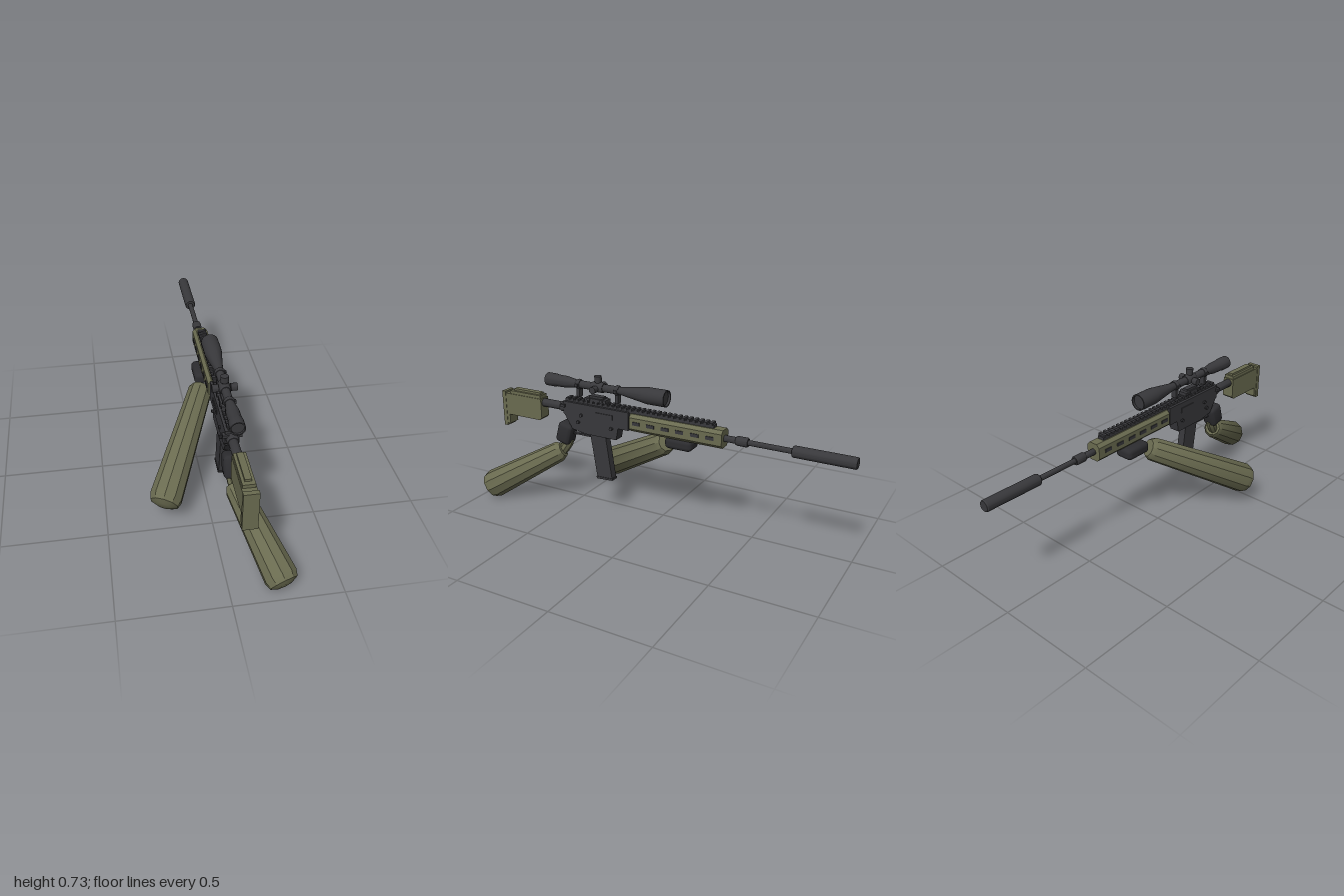
import * as THREE from 'three';
import { toCreasedNormals } from 'three/addons/utils/BufferGeometryUtils.js';
import { RoundedBoxGeometry } from 'three/addons/geometries/RoundedBoxGeometry.js';

const CX = 0.075; // the rifle's centre plane
const material = (name, color) => {
  const m = new THREE.MeshStandardMaterial({ color });
  m.name = name;
  return m;
};

export function createModel() {
  const model = new THREE.Group();
  model.name = 'rifleWithArms';
  const olive = material('olive', 0x6a6b50);
  const gunmetal = material('gunmetal', 0x38383b);
  const glove = material('gloveBlack', 0x2d2d30);

  const add = (name, geo, mat, x = 0, y = 0, z = 0) => {
    const mesh = new THREE.Mesh(toCreasedNormals(geo, 0.5), mat);
    mesh.name = name;
    mesh.position.set(x, y, z);
    model.add(mesh);
    return mesh;
  };
  // Box given by its x centre and width, and its y and z ranges
  const box = (name, mat, w, y0, y1, z0, z1, x = CX) =>
    add(name, new THREE.BoxGeometry(w, y1 - y0, z1 - z0), mat, x, (y0 + y1) / 2, (z0 + z1) / 2);
  // Turned part along z from [radius, z] points, z ascending
  const turned = (name, mat, y, pts, sides = 24) =>
    add(name, new THREE.LatheGeometry(pts.map(p => new THREE.Vector2(...p)), sides).rotateX(Math.PI / 2), mat, CX, y, 0);
  const rod = (name, mat, y, r, z0, z1, sides = 24) =>
    turned(name, mat, y, [[0, z0], [r * 0.88, z0], [r, z0 + 0.006], [r, z1 - 0.006], [r * 0.88, z1], [0, z1]], sides);
  // Side outline in (z, y) extruded across x
  const slab = (name, mat, w, pts) => {
    const shape = new THREE.Shape(pts.map(p => new THREE.Vector2(...p)));
    const geo = new THREE.ExtrudeGeometry(shape, { depth: w, bevelEnabled: false });
    return add(name, geo.translate(0, 0, -w / 2).rotateY(-Math.PI / 2), mat, CX);
  };
  // Ten-sided tapered limb with a domed end
  const limb = (name, a, b, r0, r1, sides = 10) => {
    const from = new THREE.Vector3(...a), dir = new THREE.Vector3(...b).sub(from);
    const len = dir.length();
    const pts = [[0, -0.018], [r0 * 0.75, -0.015], [r0, 0.01], [r1, len - 0.015], [r1 * 0.87, len + 0.015], [r1 * 0.45, len + 0.028], [0, len + 0.032]];
    const mesh = add(name, new THREE.LatheGeometry(pts.map(p => new THREE.Vector2(...p)), sides), olive, ...a);
    mesh.quaternion.setFromUnitVectors(new THREE.Vector3(0, 1, 0), dir.normalize());
  };

  // Arms and hands
  limb('supportArm', [0.025, 0.43, -0.025], [-0.22, 0.143, 0.452], 0.06, 0.08);
  limb('triggerArm', [0.09, 0.295, 0.572], [0.228, 0.072, 0.943], 0.054, 0.077);
  limb('triggerWrist', [0.075, 0.355, 0.525], [0.082, 0.3, 0.56], 0.027, 0.027, 8);
  add('supportHand', new RoundedBoxGeometry(0.1, 0.06, 0.145, 2, 0.022), glove, 0.051, 0.462, -0.13);
  add('triggerHand', new RoundedBoxGeometry(0.082, 0.115, 0.085, 2, 0.02), glove, CX, 0.403, 0.537).rotation.x = -0.27;

  // Stock
  slab('stock', olive, 0.064, [[0.675, 0.57], [0.915, 0.57], [0.915, 0.4], [0.89, 0.4], [0.89, 0.452], [0.69, 0.452], [0.675, 0.465]]);
  box('buttPad', olive, 0.068, 0.387, 0.58, 0.908, 0.93);
  box('cheekRest', olive, 0.056, 0.57, 0.587, 0.68, 0.88);
  box('cheekRidge', olive, 0.03, 0.587, 0.598, 0.69, 0.86);
  rod('bufferTube', gunmetal, 0.545, 0.022, 0.5, 0.69);
  rod('bufferCollar', gunmetal, 0.545, 0.028, 0.52, 0.56);

  // Receiver, magazine and trigger
  slab('upperReceiver', gunmetal, 0.064, [[0.14, 0.49], [0.5, 0.49], [0.53, 0.52], [0.53, 0.585], [0.14, 0.585]]);
  slab('lowerReceiver', gunmetal, 0.056, [[0.215, 0.425], [0.4, 0.425], [0.48, 0.44], [0.52, 0.5], [0.2, 0.5]]);
  box('triggerGuard', gunmetal, 0.02, 0.405, 0.413, 0.37, 0.49);
  box('trigger', gunmetal, 0.012, 0.41, 0.445, 0.43, 0.442);
  slab('magazine', gunmetal, 0.04, [[0.25, 0.193], [0.34, 0.188], [0.378, 0.44], [0.285, 0.44]]);
  slab('magazineBase', gunmetal, 0.046, [[0.247, 0.2], [0.247, 0.19], [0.342, 0.185], [0.345, 0.197]].reverse());
  box('chargingHandle', gunmetal, 0.088, 0.555, 0.57, 0.515, 0.54);
  box('ejectionPort', gunmetal, 0.072, 0.53, 0.555, 0.23, 0.33);
  for (const [y, z] of [[0.485, 0.44], [0.483, 0.24], [0.525, 0.42]]) {
    add('receiverPin', new THREE.CylinderGeometry(0.009, 0.009, 0.082, 10).rotateZ(Math.PI / 2), gunmetal, CX, y, z);
  }

  // Handguard with chamfered edges and side vents
  const w = 0.039, h = 0.045, c = 0.016;
  const section = new THREE.Shape([[w, h - c], [w - c, h], [c - w, h], [-w, h - c], [-w, c - h], [c - w, -h], [w - c, -h], [w, c - h]]
    .map(p => new THREE.Vector2(...p)));
  add('handguard', new THREE.ExtrudeGeometry(section, { depth: 0.5, bevelEnabled: false }), olive, CX, 0.535, -0.37);
  for (let i = 0; i < 6; i++) {
    for (const side of [-1, 1]) {
      add('vent', new THREE.BoxGeometry(0.006, 0.017, 0.042), gunmetal, CX + side * 0.04, 0.537, 0.09 - i * 0.08);
    }
  }

  // Top rail with teeth
  box('rail', gunmetal, 0.036, 0.575, 0.595, -0.32, 0.525);
  for (let i = 0; i < 29; i++) {
    const z = 0.508 - i * 0.029;
    box('railTooth', gunmetal, 0.044, 0.592, 0.605, z - 0.008, z + 0.008);
  }

  // Barrel, muzzle brake and suppressor
  rod('barrel', gunmetal, 0.535, 0.013, -0.72, -0.36, 16);
  rod('muzzleBrake', gunmetal, 0.535, 0.023, -0.49, -0.43, 16);
  rod('barrelNut', gunmetal, 0.535, 0.016, -0.43, -0.36, 16);
  rod('suppressor', gunmetal, 0.535, 0.028, -1, -0.705);

  // Scope
  turned('scope', gunmetal, 0.68, [[0, -0.05], [0.036, -0.05], [0.036, -0.062], [0.042, -0.062], [0.042, 0.04], [0.036, 0.08],
    [0.02, 0.19], [0.02, 0.46], [0.03, 0.52], [0.031, 0.58], [0.034, 0.59], [0.034, 0.64], [0.029, 0.64], [0.029, 0.63], [0, 0.63]]);
  rod('turretHousing', gunmetal, 0.68, 0.026, 0.295, 0.365);
  add('elevationTurret', new THREE.CylinderGeometry(0.019, 0.019, 0.03, 16), gunmetal, CX, 0.724, 0.33);
  add('turretStem', new THREE.CylinderGeometry(0.014, 0.014, 0.04, 16), gunmetal, CX, 0.7, 0.33);
  for (const side of [-1, 1]) {
    add('sideTurret', new THREE.CylinderGeometry(0.018, 0.018, 0.03, 16).rotateZ(Math.PI / 2), gunmetal, CX + side * 0.043, 0.677, 0.33);
  }
  for (const z of [0.215, 0.445]) {
    rod('scopeRing', gunmetal, 0.68, 0.026, z - 0.011, z + 0.011);
    box('scopeRingClamp', gunmetal, 0.062, 0.672, 0.687, z - 0.008, z + 0.008);
    box('scopeRingFoot', gunmetal, 0.03, 0.615, 0.665, z - 0.009, z + 0.009);
  }
  box('scopeMount', gunmetal, 0.048, 0.605, 0.622, 0.275, 0.4);
  box('scopeMountBridge', gunmetal, 0.03, 0.62, 0.634, 0.295, 0.375);
  for (const z of [0.3, 0.375]) {
    add('mountBolt', new THREE.CylinderGeometry(0.009, 0.009, 0.06, 8).rotateZ(Math.PI / 2), gunmetal, CX, 0.616, z);
  }
  return model;
}
